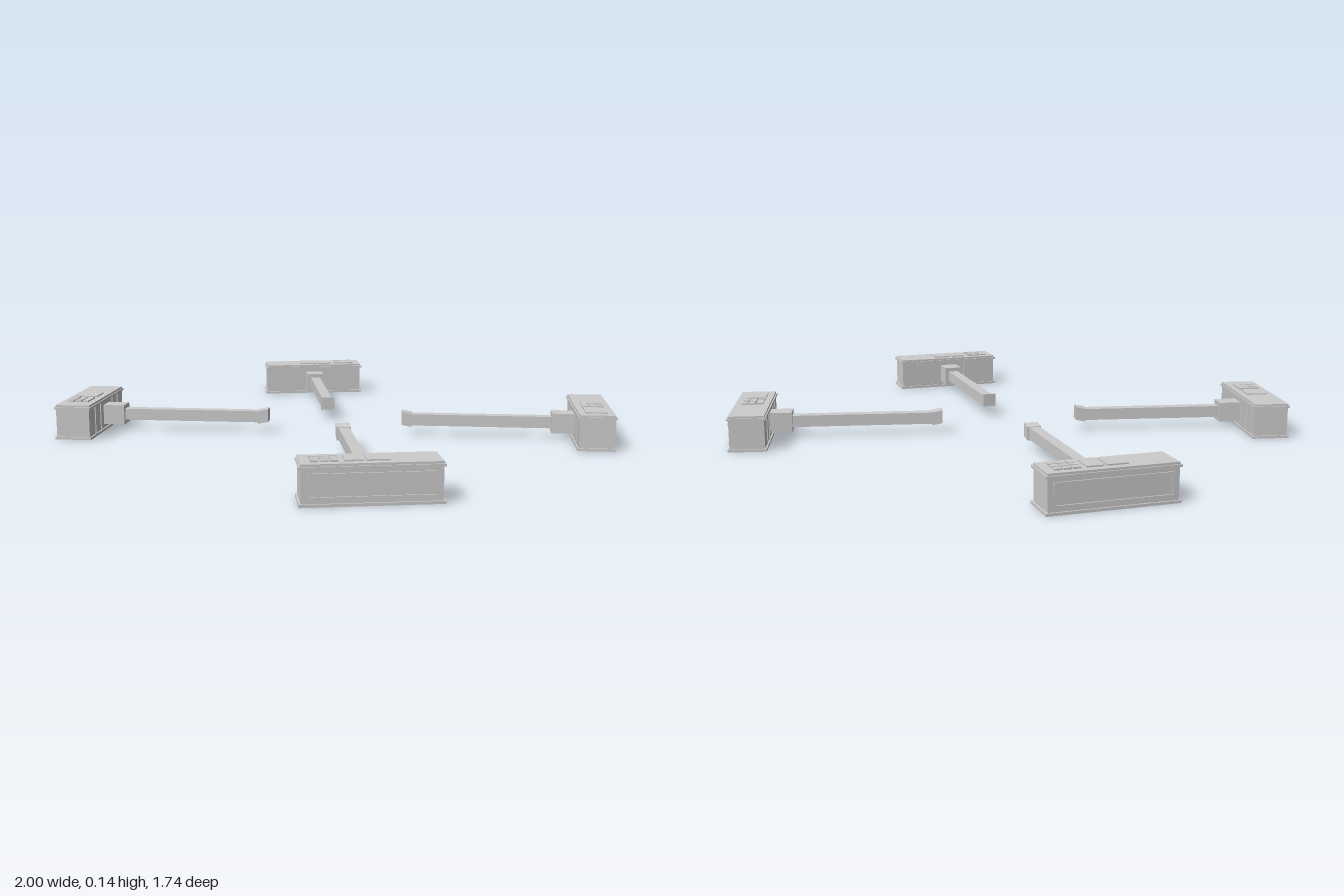
import * as THREE from 'three';

const material = new THREE.MeshStandardMaterial({ color: 0xcccccc, flatShading: true });

// Box given by its ranges: x runs outward along the arm, z along the building
function block(parent, name, [x0, x1], [y0, y1], [z0, z1]) {
  const mesh = new THREE.Mesh(new THREE.BoxGeometry(x1 - x0, y1 - y0, z1 - z0), material);
  mesh.position.set((x0 + x1) / 2, (y0 + y1) / 2, (z0 + z1) / 2);
  mesh.name = name;
  parent.add(mesh);
  return mesh;
}

const C = 1.024; // distance from the middle to the building's centre line

function building(roof) {
  const g = new THREE.Group();
  g.name = 'building';
  const slab = (name, w, l, y) => block(g, name, [C - w, C + w], y, [-l, l]);
  slab('plinth', 0.073, 0.234, [0, 0.01]);
  slab('walls', 0.067, 0.227, [0.01, 0.122]);
  slab('cornice', 0.073, 0.234, [0.122, 0.13]);
  slab('roofSlab', 0.068, 0.228, [0.13, 0.138]);

  // Outer facade: a pair of long ledges joined by end frames
  const face = [C + 0.066, C + 0.072];
  for (const y of [0.022, 0.098]) block(g, 'facadeLedge', face, [y, y + 0.01], [-0.205, 0.205]);
  for (const s of [-1, 1]) {
    block(g, 'facadeFrame', [C + 0.066, C + 0.07], [0.022, 0.108], [s * 0.205 - 0.004, s * 0.205 + 0.004]);
  }

  // Inner facade: ribs on both sides of the connector
  for (const s of [-1, 1]) for (const z of [0.08, 0.15]) {
    block(g, 'wallRib', [C - 0.071, C - 0.066], [0.01, 0.122], [s * z - 0.004, s * z + 0.004]);
  }

  // Roof equipment: flat panels and a grid of small units
  for (const [z0, z1] of roof.panels) {
    block(g, 'roofPanel', [C - 0.042, C + 0.04], [0.138, 0.143], [z0, z1]);
  }
  for (let i = 0; i < 3; i++) for (let j = 0; j < 3; j++) {
    const x = C + (i - 1) * 0.03, z = roof.units + (j - 1) * 0.032;
    block(g, 'roofUnit', [x - 0.012, x + 0.012], [0.138, 0.144], [z - 0.013, z + 0.013]);
  }
  return g;
}

function pier(roof) {
  const g = new THREE.Group();
  g.name = 'pier';
  g.add(building(roof));
  block(g, 'connector', [0.87, C - 0.06], [0.025, 0.105], [-0.038, 0.038]);
  block(g, 'arm', [0.29, 0.88], [0.042, 0.088], [-0.021, 0.021]);

  // Slanted end cap, higher at its free end
  const side = new THREE.Shape([[0.272, 0.045], [0.313, 0.037], [0.313, 0.09], [0.272, 0.098]]
    .map(([x, y]) => new THREE.Vector2(x, y)));
  const cap = new THREE.Mesh(
    new THREE.ExtrudeGeometry(side, { depth: 0.054, bevelEnabled: false }), material);
  cap.position.z = -0.027;
  cap.name = 'endCap';
  g.add(cap);
  return g;
}

export function createModel() {
  const model = new THREE.Group();
  model.name = 'fourPiers';
  const paired = { panels: [[-0.06, 0.015], [0.025, 0.085]], units: 0.15 };
  const piers = [
    [-39, paired],
    [141, paired],
    [39, { panels: [[0.085, 0.19]], units: 0.02 }],
    [219, { panels: [[-0.04, 0.045]], units: -0.11 }],
  ];
  for (const [angle, roof] of piers) {
    const p = pier(roof);
    p.rotation.y = THREE.MathUtils.degToRad(angle);
    model.add(p);
  }
  return model;
}
